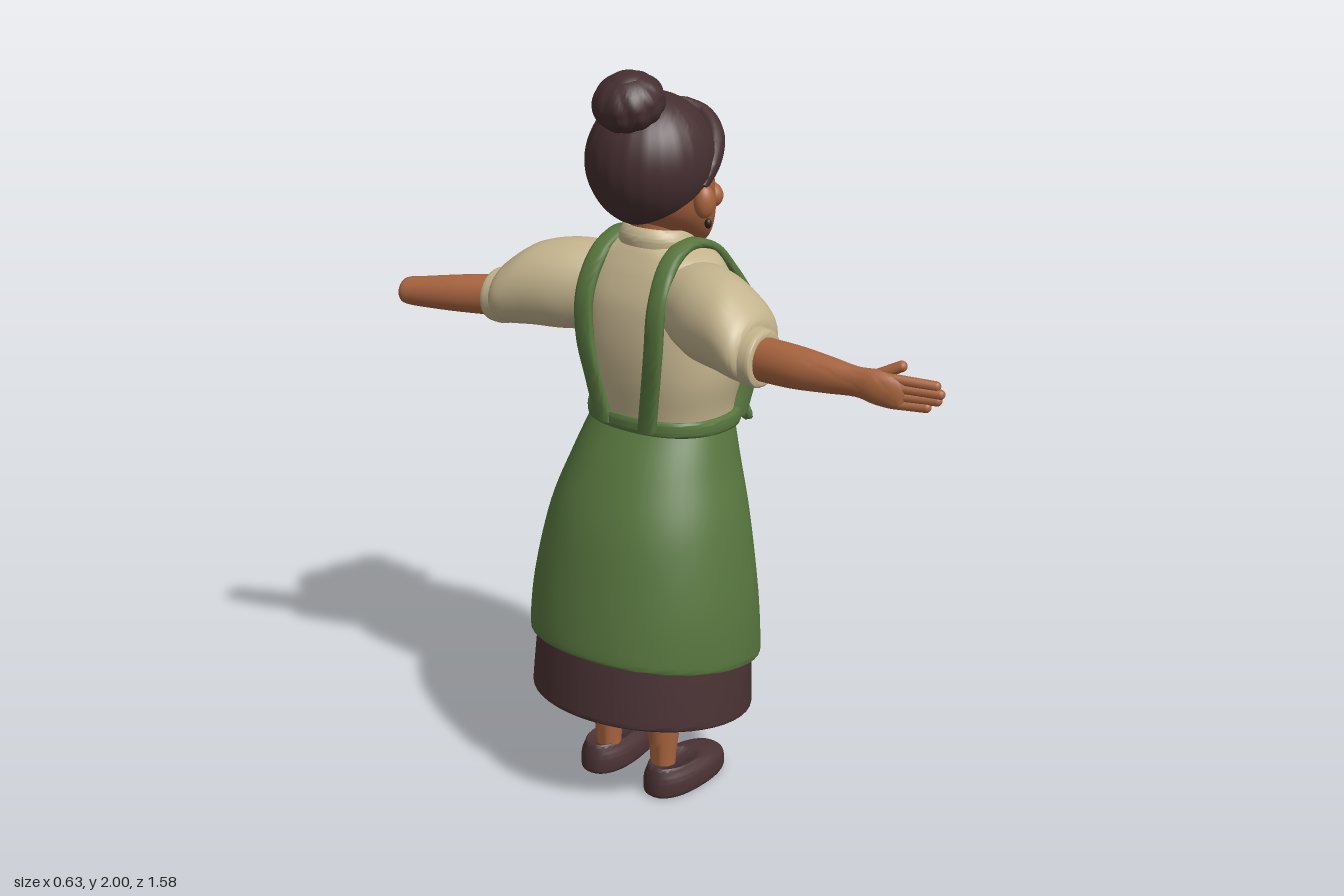
import * as THREE from 'three';
import { toCreasedNormals } from 'three/addons/utils/BufferGeometryUtils.js';

const mat = (name, color, side = THREE.FrontSide) => new THREE.MeshStandardMaterial({ name, color, side });
const V = (x, y, z) => new THREE.Vector3(x, y, z);
const TAU = Math.PI * 2;

// Closed-ring surface from fn(angle, v), optionally capped at both ends
function grid(fn, nu, nv, caps = true) {
  const pos = [], idx = [];
  for (let j = 0; j <= nv; j++) for (let i = 0; i < nu; i++) pos.push(...fn(i / nu * TAU, j / nv).toArray());
  for (let j = 0; j < nv; j++) for (let i = 0; i < nu; i++) {
    const k = (i + 1) % nu, a = j * nu + i, b = j * nu + k;
    idx.push(a, a + nu, b, b, a + nu, b + nu);
  }
  if (caps) for (const j of [0, nv]) {
    const mid = V(0, 0, 0), o = pos.length / 3;
    for (let i = 0; i < nu; i++) mid.add(fn(i / nu * TAU, j / nv));
    pos.push(...mid.divideScalar(nu).toArray());
    for (let i = 0; i < nu; i++) {
      const a = j * nu + i, b = j * nu + (i + 1) % nu;
      if (j) idx.push(o, b, a); else idx.push(o, a, b);
    }
  }
  const g = new THREE.BufferGeometry();
  g.setAttribute('position', new THREE.Float32BufferAttribute(pos, 3));
  g.setIndex(idx);
  return toCreasedNormals(g, 0.85);
}

// Smooth interpolation through rows of numbers
function spline(rows, t) {
  const n = rows.length - 1, f = Math.min(t * n, n - 1e-9), i = Math.floor(f), s = f - i;
  const r = k => rows[Math.max(0, Math.min(n, k))];
  return rows[0].map((_, k) => {
    const [a, b, c, d] = [r(i - 1)[k], r(i)[k], r(i + 1)[k], r(i + 2)[k]];
    return b + 0.5 * s * (c - a + s * (2 * a - 5 * b + 4 * c - d + s * (3 * (b - c) + d - a)));
  });
}
const pw = (c, p) => Math.sign(c) * Math.abs(c) ** (2 / p);

// Upright body from rows [y, back x, front x, half width, slope]
function body(rows, p = 2, caps = true, nu = 48) {
  return grid((u, v) => {
    const [y, lo, hi, hz, sl] = spline(rows, v), dx = pw(Math.cos(u), p) * (hi - lo) / 2;
    return V((lo + hi) / 2 + dx, y + sl * dx, pw(Math.sin(u), p) * hz);
  }, nu, (rows.length - 1) * 6, caps);
}
// Limb running sideways from rows [distance, x, y, x radius, y radius]
const limb = (rows, s) => grid((u, v) => {
  const [d, x, y, rx, ry] = spline(rows, v);
  return V(x + Math.cos(u) * rx, y - s * Math.sin(u) * ry, s * d);
}, 28, (rows.length - 1) * 5);

const tube = (pts, r, closed = false) =>
  new THREE.TubeGeometry(new THREE.CatmullRomCurve3(pts.map(p => V(...p)), closed), 32, r, 10, closed);

export function createModel() {
  const skin = mat('skin', 0xa8643f), green = mat('apronGreen', 0x58763f, THREE.DoubleSide);
  const cream = mat('blouseCream', 0xc4b48e, THREE.DoubleSide), brown = mat('skirtBrown', 0x4a3234);
  const hair = mat('hairBrown', 0x452e30, THREE.DoubleSide), white = mat('eyeWhite', 0xe4ddd0);
  const dark = mat('dark', 0x2a1b18), lip = mat('lipBrown', 0x74402c);

  const root = new THREE.Group();
  root.name = 'woman';
  const fig = new THREE.Group();
  fig.name = 'figure';
  fig.position.z = -0.12;
  root.add(fig);
  const add = (name, geo, m, p = [0, 0, 0], r = [0, 0, 0], s = [1, 1, 1]) => {
    const mesh = new THREE.Mesh(geo, m);
    mesh.name = name;
    mesh.position.set(...p); mesh.rotation.set(...r); mesh.scale.set(...s);
    fig.add(mesh);
    return mesh;
  };
  const ball = new THREE.SphereGeometry(1, 24, 16);

  // Skirt and apron
  add('underskirt', body([[0.262, -0.30, 0.235, 0.29, -0.14], [0.262, -0.318, 0.25, 0.308, -0.14],
    [0.29, -0.318, 0.252, 0.31, -0.14], [0.45, -0.295, 0.255, 0.3, -0.17], [0.6, -0.26, 0.23, 0.28, -0.1]]), brown);
  add('apronSkirt', body([[0.43, -0.28, 0.25, 0.29, -0.19], [0.42, -0.303, 0.27, 0.308, -0.19],
    [0.44, -0.31, 0.277, 0.317, -0.19], [0.6, -0.285, 0.263, 0.309, -0.12], [0.8, -0.238, 0.252, 0.272, -0.06],
    [0.95, -0.17, 0.245, 0.226, -0.05], [1.06, -0.098, 0.238, 0.193, -0.07]], 2.15), green);
  add('waistBand', body([[1.045, -0.09, 0.235, 0.185, -0.08], [1.045, -0.107, 0.252, 0.2, -0.08],
    [1.065, -0.11, 0.258, 0.204, -0.08], [1.085, -0.107, 0.252, 0.2, -0.08], [1.088, -0.09, 0.235, 0.185, -0.08]], 2.3), green);

  // Blouse and bib
  add('blouse', body([[1.02, -0.09, 0.22, 0.185, 0], [1.1, -0.1, 0.23, 0.192, 0], [1.2, -0.118, 0.258, 0.214, 0],
    [1.3, -0.125, 0.265, 0.216, 0], [1.4, -0.115, 0.215, 0.21, 0], [1.47, -0.088, 0.175, 0.2, 0],
    [1.515, -0.062, 0.15, 0.17, 0], [1.54, -0.045, 0.135, 0.11, 0], [1.555, -0.03, 0.12, 0.07, 0]], 2.4), cream);
  add('apronBib', body([[1.05, 0.12, 0.245, 0.18, 0], [1.12, 0.14, 0.272, 0.186, 0], [1.2, 0.15, 0.308, 0.192, 0],
    [1.28, 0.15, 0.306, 0.188, 0], [1.34, 0.14, 0.275, 0.175, 0], [1.378, 0.14, 0.248, 0.166, 0],
    [1.385, 0.15, 0.235, 0.155, 0]], 3), green);

  // Collar, placket and buttons
  add('neck', new THREE.CylinderGeometry(0.066, 0.07, 0.16, 28), skin, [0.045, 1.54, 0]);
  add('collar', body([[1.53, -0.05, 0.14, 0.1, -0.15], [1.555, -0.05, 0.138, 0.1, -0.15],
    [1.58, -0.035, 0.122, 0.084, -0.15], [1.57, -0.025, 0.112, 0.074, -0.15]], 2, false), cream);
  const flap = new THREE.Shape([[0.004, 0.03], [0.075, 0.032], [0.07, -0.02], [0.045, -0.035]].map(p => new THREE.Vector2(...p)));
  const flapGeo = new THREE.ExtrudeGeometry(flap, { depth: 0.008, bevelSize: 0.004, bevelThickness: 0.004, bevelSegments: 2 });
  add('collarFlapRight', flapGeo, cream, [0.14, 1.535, 0], [0, Math.PI / 2 + 0.35, 0]);
  add('collarFlapLeft', flapGeo.clone().translate(0, 0, -0.008).rotateY(Math.PI), cream, [0.14, 1.535, 0], [0, Math.PI / 2 - 0.35, 0]);
  add('placket', new THREE.BoxGeometry(0.012, 0.16, 0.04), cream, [0.186, 1.45, 0], [0, 0, 0.5]);
  for (const y of [1.42, 1.48]) add('blouseButton', ball, cream, [0.194 - (y - 1.45) * 0.55, y, 0], [0, 0, 0.5], [0.007, 0.01, 0.01]);

  // Apron bow
  add('bowKnot', ball, green, [0.268, 1.045, 0], [0, 0, 0], [0.025, 0.024, 0.026]);
  for (const s of [1, -1]) {
    add('bowLoop', tube([[0.268, 1.05, 0], [0.285, 1.06, s * 0.05], [0.283, 1.035, s * 0.115],
      [0.29, 1.0, s * 0.125], [0.295, 1.015, s * 0.07]], 0.011, true), green);
    add('bowTail', tube([[0.27, 1.045, 0], [0.292, 1.0, s * 0.03], [0.3, 0.95, s * 0.06], [0.285, 0.905, s * (s > 0 ? 0.065 : 0.12)]], 0.013), green);
  }

  // Paired parts: straps, sleeves, legs, shoes
  for (const s of [1, -1]) {
    const side = s > 0 ? 'Far' : 'Near';
    const path = new THREE.CatmullRomCurve3([[0.245, 1.36, 0.147], [0.185, 1.45, 0.13], [0.12, 1.525, 0.115], [0.03, 1.55, 0.108],
      [-0.055, 1.515, 0.11], [-0.112, 1.42, 0.115], [-0.122, 1.3, 0.11], [-0.11, 1.18, 0.09], [-0.098, 1.07, 0.07]]
      .map(([x, y, z]) => V(x, y, s * z)));
    add('strap' + side, grid((u, v) => {
      const p = path.getPoint(v), t = path.getTangent(v), n = t.cross(V(0, 0, 1)).normalize();
      return p.addScaledVector(n, pw(Math.cos(u), 3) * 0.013).add(V(0, 0, pw(Math.sin(u), 3) * 0.027));
    }, 16, 50), green);
    add('bibButton', ball, green, [0.262, 1.355, s * 0.135], [0, -s * 0.5, 0.5], [0.009, 0.014, 0.014]);
    add('sleeve' + side, limb([[0.1, 0.01, 1.41, 0.1, 0.1], [0.2, -0.015, 1.4, 0.128, 0.122], [0.3, -0.05, 1.392, 0.122, 0.115],
      [0.365, -0.066, 1.37, 0.119, 0.096], [0.395, -0.078, 1.355, 0.095, 0.08], [0.4, -0.085, 1.348, 0.06, 0.06]], s), cream);
    add('cuff' + side, limb([[0.38, -0.085, 1.347, 0.06, 0.06], [0.385, -0.088, 1.347, 0.076, 0.074], [0.41, -0.09, 1.346, 0.077, 0.075],
      [0.43, -0.092, 1.346, 0.073, 0.071], [0.433, -0.092, 1.346, 0.055, 0.055]], s), cream);
    add('leg' + side, body([[0.04, -0.1, -0.03, 0.036, 0], [0.1, -0.103, -0.03, 0.036, 0], [0.22, -0.112, -0.008, 0.045, 0],
      [0.36, -0.115, 0.0, 0.052, 0]], 2, true, 24), skin, [0, 0, s * 0.095]);
    add('shoe' + side, body([[0, -0.125, 0.13, 0.06, 0], [0.004, -0.138, 0.147, 0.072, 0], [0.022, -0.14, 0.15, 0.075, 0],
      [0.05, -0.138, 0.143, 0.072, 0], [0.07, -0.132, 0.115, 0.06, -0.04], [0.082, -0.125, 0.05, 0.05, -0.08],
      [0.076, -0.11, 0.03, 0.04, -0.08]], 2.3), brown, [0, 0, s * 0.115], [0, -s * 0.06, 0]);
  }

  // Arms: one ends in an open hand, the other in a blunt end
  add('forearmFar', limb([[0.38, -0.09, 1.345, 0.054, 0.056], [0.52, -0.102, 1.35, 0.053, 0.054], [0.62, -0.102, 1.351, 0.04, 0.046],
    [0.7, -0.098, 1.35, 0.026, 0.038], [0.75, -0.09, 1.345, 0.028, 0.044], [0.8, -0.078, 1.338, 0.022, 0.042], [0.82, -0.07, 1.336, 0.012, 0.03]], 1), skin);
  add('forearmNear', limb([[0.38, -0.09, 1.345, 0.054, 0.056], [0.45, -0.112, 1.345, 0.054, 0.055], [0.53, -0.145, 1.342, 0.049, 0.05],
    [0.62, -0.176, 1.337, 0.042, 0.042], [0.662, -0.189, 1.336, 0.038, 0.037], [0.67, -0.19, 1.336, 0.03, 0.03]], -1), skin);
  const finger = (name, a, b, r) => {
    const A = V(...a), d = V(...b).sub(A);
    const f = add(name, new THREE.CapsuleGeometry(r, d.length(), 6, 12), skin);
    f.position.copy(A).addScaledVector(d, 0.5);
    f.quaternion.setFromUnitVectors(V(0, 1, 0), d.normalize());
  };
  for (let i = 0; i < 4; i++)
    finger('finger', [-0.08, 1.371 - i * 0.021, 0.79], [-0.045 - (i === 3 ? 0.012 : 0), 1.363 - i * 0.018, [0.885, 0.897, 0.89, 0.868][i]], 0.0125);
  finger('thumb', [-0.085, 1.37, 0.74], [-0.062, 1.4, 0.8], 0.014);

  // Head
  add('face', body([[1.515, 0.11, 0.16, 0.025, -0.3], [1.53, 0.06, 0.195, 0.07, -0.3], [1.565, 0.0, 0.21, 0.105, -0.2],
    [1.62, -0.05, 0.211, 0.13, -0.05], [1.68, -0.08, 0.2, 0.139, 0], [1.75, -0.1, 0.194, 0.14, 0],
    [1.82, -0.1, 0.18, 0.126, 0], [1.88, -0.04, 0.1, 0.07, 0]]), skin);
  add('nose', ball, skin, [0.214, 1.667, 0], [0, 0, 0.25], [0.03, 0.02, 0.021]);
  add('noseBridge', ball, skin, [0.195, 1.695, 0], [0, 0, 0.3], [0.014, 0.04, 0.013]);
  add('mouth', tube([[0.2, 1.597, -0.044], [0.209, 1.587, -0.022], [0.212, 1.584, 0], [0.209, 1.587, 0.022], [0.2, 1.597, 0.044]], 0.0035), lip);
  for (const s of [1, -1]) {
    add('cheek', ball, skin, [0.165, 1.645, s * 0.075], [0, 0, 0], [0.034, 0.036, 0.042]);
    add('ear', ball, skin, [0.04, 1.667, s * 0.152], [0, -s * 0.4, 0], [0.028, 0.043, 0.025]);
    add('earring', ball, dark, [0.042, 1.612, s * 0.163], [0, 0, 0], [0.009, 0.013, 0.009]);
    add('eyeWhite', ball, white, [0.183, 1.706, s * 0.06], [0, -s * 0.43, 0], [0.008, 0.017, 0.023]);
    add('iris', ball, dark, [0.188, 1.706, s * 0.058], [0, -s * 0.43, 0], [0.006, 0.012, 0.011]);
    add('upperLid', tube([[0.195, 1.718, s * 0.038], [0.191, 1.725, s * 0.058], [0.176, 1.713, s * 0.084]], 0.004), dark);
    add('eyebrow', tube([[0.194, 1.757, s * 0.035], [0.184, 1.768, s * 0.062], [0.165, 1.755, s * 0.092]], 0.0055), hair);
  }

  // Hair cap with a hairline that drops from the forehead to the nape
  add('hairCap', grid((u, v) => {
    const f = (1 - Math.cos(u)) / 2, end = Math.acos(0.45 - 1.89 * f + 0.58 * f * f);
    const t = v < 0.05 ? end : end * (1 - (v - 0.05) / 0.95), k = v < 0.05 ? 0.86 : 1;
    const ridge = 1 + 0.006 * Math.cos(u * 22) * Math.sin(t);
    return V(0.02 + Math.cos(u) * Math.sin(t) * 0.172 * k * ridge,
      1.758 + Math.cos(t) * 0.174 * k, Math.sin(u) * Math.sin(t) * 0.164 * k * ridge);
  }, 88, 40, false), hair);
  for (const s of [1, -1]) {
    // Rolled locks sweeping from the centre parting to the ears
    const sweep = new THREE.CatmullRomCurve3([[0.165, 1.872, -0.004], [0.178, 1.845, 0.05], [0.148, 1.805, 0.105],
      [0.09, 1.755, 0.139], [0.035, 1.705, 0.148]].map(([x, y, z]) => V(x, y, s * z)));
    add('hairRoll', grid((u, v) => {
      const p = sweep.getPoint(v), t = sweep.getTangent(v);
      const n = p.clone().sub(V(0.02, 1.76, 0)).normalize(), w = t.clone().cross(n).normalize();
      n.crossVectors(w, t).normalize();
      const r = 0.014 + 0.02 * Math.sin(Math.PI * (0.15 + v * 0.8));
      return p.addScaledVector(n, Math.cos(u) * r * 0.8).addScaledVector(w, -Math.sin(u) * r);
    }, 18, 30), hair);
  }
  // Bun with gathered ridges
  add('bun', grid((u, v) => {
    const t = Math.PI * (1 - v), r = 1 - 0.07 * (1 - Math.abs(Math.sin(u * 5.5 + 1.2 * t))) * Math.sin(t);
    return V(Math.cos(u) * Math.sin(t) * 0.093 * r, Math.cos(t) * 0.074, Math.sin(u) * Math.sin(t) * 0.093 * r);
  }, 88, 24, false), hair, [-0.073, 1.922, 0.003], [0, 0, 0.3]);
  add('bunTop', ball, hair, [-0.08, 1.968, 0.003], [0, 0, 0.2], [0.052, 0.032, 0.052]);
  return root;
}
